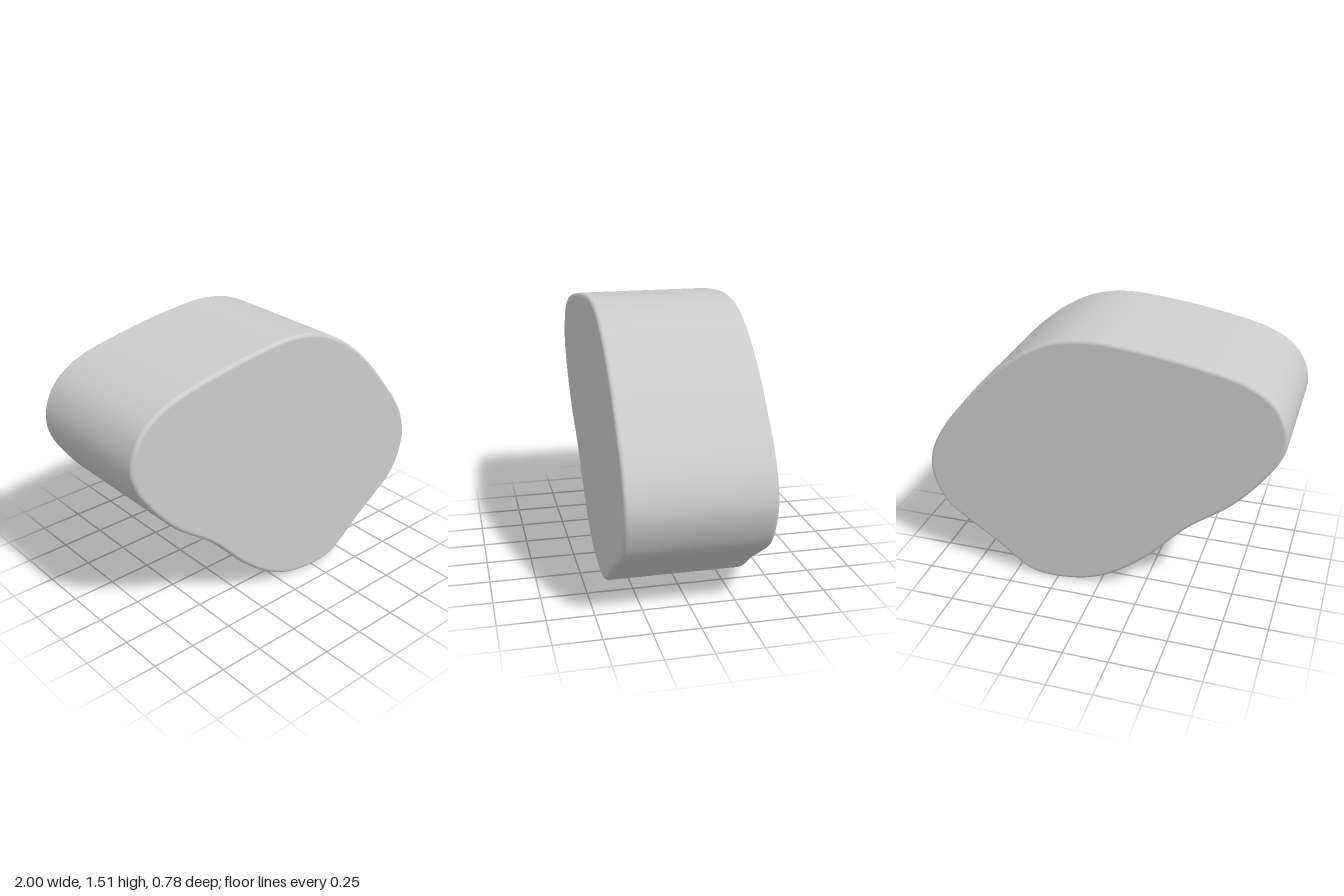
import * as THREE from 'three';

const HALF_DEPTH = 0.39, EDGE = 0.022, STEPS = 180, EDGE_STEPS = 5;

// Pebble outline, counter-clockwise from the lowest point
const OUTLINE = [
  [0.27, 0.004], [0.40, 0.02], [0.48, 0.065], [0.62, 0.175], [0.78, 0.285], [0.91, 0.385],
  [0.97, 0.49], [1.0, 0.62], [0.975, 0.75], [0.90, 0.89], [0.80, 1.02], [0.62, 1.225],
  [0.42, 1.39], [0.24, 1.48], [0.05, 1.512], [-0.18, 1.498], [-0.50, 1.45], [-0.78, 1.38],
  [-0.92, 1.29], [-0.985, 1.18], [-1.0, 1.07], [-0.97, 0.97], [-0.88, 0.83], [-0.74, 0.67],
  [-0.50, 0.48], [-0.28, 0.25], [-0.10, 0.11], [0.06, 0.035],
];

export function createModel() {
  const group = new THREE.Group();
  group.name = 'pebbleBlock';
  const material = new THREE.MeshStandardMaterial({ color: 0xcccccc });
  const add = (name, geometry) => {
    const mesh = new THREE.Mesh(geometry, material);
    mesh.name = name;
    group.add(mesh);
  };

  const curve = new THREE.CatmullRomCurve3(
    OUTLINE.map(([x, y]) => new THREE.Vector3(x, y, 0)), true, 'centripetal');
  const rim = [];
  for (let i = 0; i < STEPS; i++) {
    const p = curve.getPointAt(i / STEPS), t = curve.getTangentAt(i / STEPS);
    rim.push({ x: p.x, y: p.y, nx: t.y, ny: -t.x });
  }

  // Cross-section from the front edge to the back edge: two small quarter rounds
  const section = [];
  for (const side of [1, -1]) {
    for (let k = 0; k <= EDGE_STEPS; k++) {
      const a = (side > 0 ? k : EDGE_STEPS - k) / EDGE_STEPS * Math.PI / 2;
      section.push({
        inset: EDGE * (1 - Math.sin(a)),
        z: side * (HALF_DEPTH - EDGE + EDGE * Math.cos(a)),
        out: Math.sin(a),
        nz: side * Math.cos(a),
      });
    }
  }

  // Side wall with rounded edges
  const positions = [], normals = [], indices = [];
  section.forEach((s, j) => rim.forEach((p, i) => {
    positions.push(p.x - p.nx * s.inset, p.y - p.ny * s.inset, s.z);
    normals.push(p.nx * s.out, p.ny * s.out, s.nz);
    if (j === section.length - 1) return;
    const next = (i + 1) % STEPS;
    const a = j * STEPS + i, b = j * STEPS + next, c = a + STEPS, d = b + STEPS;
    indices.push(a, c, b, b, c, d);
  }));
  const wall = new THREE.BufferGeometry();
  wall.setAttribute('position', new THREE.Float32BufferAttribute(positions, 3));
  wall.setAttribute('normal', new THREE.Float32BufferAttribute(normals, 3));
  wall.setIndex(indices);
  add('roundedSideWall', wall);

  // Flat front and back faces
  for (const side of [1, -1]) {
    const shape = new THREE.Shape(rim.map(p =>
      new THREE.Vector2(side * (p.x - p.nx * EDGE), p.y - p.ny * EDGE)));
    const face = new THREE.ShapeGeometry(shape);
    if (side < 0) face.rotateY(Math.PI);
    face.translate(0, 0, side * HALF_DEPTH);
    add(side > 0 ? 'frontFace' : 'backFace', face);
  }
  return group;
}
